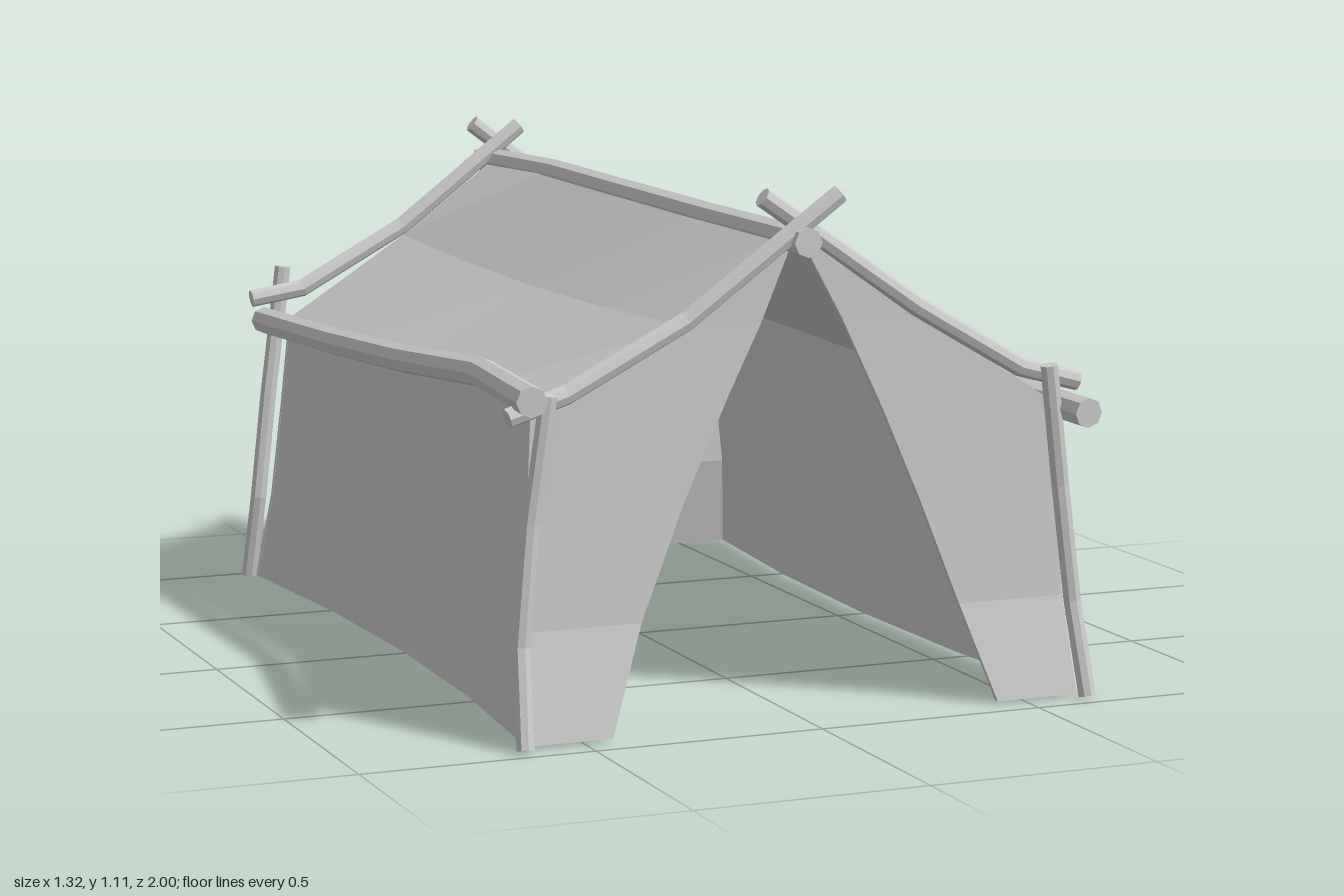
import * as THREE from 'three';

const wood = new THREE.MeshStandardMaterial({ color: 0xcccccc, flatShading: true });
const canvas = new THREE.MeshStandardMaterial({ color: 0xcccccc, flatShading: true, side: THREE.DoubleSide });
const V = (p) => new THREE.Vector3(...p);

// Crooked pole: a capped eight-sided cylinder bent through the given points
function pole(name, radius, points) {
  const pts = points.map(V), n = pts.length - 1;
  const geo = new THREE.CylinderGeometry(radius, radius, 1, 8, n);
  const pos = geo.attributes.position;
  for (let i = 0; i < pos.count; i++) {
    const k = Math.round((pos.getY(i) + 0.5) * n);
    const t = pts[Math.min(k + 1, n)].clone().sub(pts[Math.max(k - 1, 0)]).normalize();
    const ref = Math.abs(t.z) > 0.8 ? new THREE.Vector3(0, 1, 0) : new THREE.Vector3(0, 0, 1);
    const u = ref.cross(t).normalize(), v = u.clone().cross(t);
    const p = pts[k].clone().addScaledVector(u, pos.getX(i)).addScaledVector(v, pos.getZ(i));
    pos.setXYZ(i, p.x, p.y, p.z);
  }
  geo.computeVertexNormals();
  const mesh = new THREE.Mesh(geo, wood);
  mesh.name = name;
  return mesh;
}

// Cloth sheet between rows of points, with an inner layer and a closed hem
function sheet(name, rows, inward, thickness = 0.012) {
  const n = rows.length, cols = rows[0].length, count = n * cols, index = [];
  const quad = (a, b, c, d) => index.push(a, b, c, b, d, c);
  const outer = rows.flat().map(V);
  const inner = outer.map((p) => p.clone().addScaledVector(V(inward), thickness));
  for (let i = 0; i < n - 1; i++) {
    for (let j = 0; j < cols - 1; j++) {
      const a = i * cols + j, b = a + cols;
      quad(a, b, a + 1, b + 1);
      quad(a + count, a + 1 + count, b + count, b + 1 + count);
    }
  }
  const hem = (a, b) => quad(a, b, a + count, b + count);
  for (let i = 0; i < n - 1; i++) {
    hem(i * cols, (i + 1) * cols);
    hem((i + 1) * cols - 1, (i + 2) * cols - 1);
  }
  for (let j = 0; j < cols - 1; j++) {
    hem(j, j + 1);
    hem(count - cols + j, count - cols + j + 1);
  }
  const geo = new THREE.BufferGeometry().setFromPoints([...outer, ...inner]);
  geo.setIndex(index);
  geo.computeVertexNormals();
  const mesh = new THREE.Mesh(geo, canvas);
  mesh.name = name;
  return mesh;
}

export function createModel() {
  const tent = new THREE.Group();
  tent.name = 'tent';

  // Long poles, front to back
  const ridge = [[-0.015, 0.995, 0.95], [-0.02, 0.998, 0.45], [-0.02, 1.003, 0], [-0.025, 1.01, -0.45], [-0.01, 0.995, -1]];
  const eaves = {
    left: [[0.61, 0.615, 0.995], [0.575, 0.63, 0.45], [0.557, 0.615, 0], [0.565, 0.63, -0.45], [0.58, 0.665, -0.96]],
    right: [[-0.63, 0.71, 0.99], [-0.54, 0.69, 0.45], [-0.56, 0.66, 0], [-0.575, 0.64, -0.45], [-0.59, 0.625, -0.97]],
  };
  tent.add(pole('ridgePole', 0.031, ridge));
  tent.add(pole('leftEavePole', 0.032, eaves.left));
  tent.add(pole('rightEavePole', 0.032, eaves.right));

  // Corner posts: base x, top x, top y, and z at four heights
  const posts = [
    ['frontLeftPost', 0.637, 0.553, 0.71, [0.96, 0.915, 0.908, 0.922]],
    ['frontRightPost', -0.638, -0.57, 0.71, [0.965, 0.915, 0.908, 0.922]],
    ['backLeftPost', 0.63, 0.525, 0.76, [-0.965, -0.928, -0.925, -0.94]],
    ['backRightPost', -0.638, -0.555, 0.76, [-0.965, -0.925, -0.922, -0.925]],
  ];
  for (const [name, x0, x1, top, zs] of posts) {
    const bulge = 0.008 * Math.sign(x0);
    tent.add(pole(name, 0.0195, [0, 0.2, 0.45, top].map((y, i) =>
      [x0 + (x1 - x0) * y / top + (i % 3 ? bulge : 0), y, zs[i]])));
  }

  // Crossed rafters at each gable
  tent.add(pole('frontRightRafter', 0.021, [[-0.65, 0.665, 0.9], [-0.52, 0.705, 0.893], [-0.26, 0.84, 0.893], [0.065, 1.09, 0.925]]));
  tent.add(pole('frontLeftRafter', 0.021, [[0.63, 0.67, 0.905], [0.5, 0.705, 0.89], [0.26, 0.845, 0.885], [-0.09, 1.085, 0.885]]));
  tent.add(pole('backRightRafter', 0.021, [[-0.645, 0.69, -0.89], [-0.52, 0.71, -0.885], [-0.26, 0.85, -0.895], [0.04, 1.085, -0.885]]));
  tent.add(pole('backLeftRafter', 0.021, [[0.63, 0.71, -0.91], [0.5, 0.705, -0.905], [0.26, 0.84, -0.9], [-0.065, 1.09, -0.93]]));

  // Cloth cross-section at station k: wall from the ground to the eave, then roof to the ridge.
  // The eave seam hangs just inside its pole, the ends just inside the posts.
  const span = [1, 0.5, 0, -0.5, -1];
  const section = (side, k) => {
    const s = side === 'left' ? 1 : -1, f = span[k];
    const [ex, ey] = eaves[side][k], sag = 1 - f * f;
    const eaveX = ex - s * 0.036, eaveY = (ey + 0.65) / 2, baseX = s * (0.625 - 0.055 * sag);
    const wall = (t, z) => [baseX + (eaveX - baseX) * t, eaveY * t, z * f];
    return [
      wall(0, f > 0 ? 0.935 : 0.95), wall(0.33, 0.893), wall(0.68, 0.885), wall(1, 0.885),
      [s * 0.26, 0.828 - 0.02 * sag, 0.885 * f],
      [ridge[k][0], ridge[k][1] + 0.02, 0.89 * f],
    ];
  };
  const openEdge = (y) => Math.max(0, 0.437 * (1 - y) + 0.11 * y * (1 - y));
  for (const side of ['left', 'right']) {
    const s = side === 'left' ? 1 : -1;
    const sections = span.map((_, k) => section(side, k));
    tent.add(sheet(side + 'Wall', sections.map((c) => c.slice(0, 4)), [-s, 0, 0]));
    tent.add(sheet(side + 'Roof', sections.map((c) => c.slice(3)), [0, -1, 0]));
    // Front flap from the corner to the slanted edge of the doorway
    tent.add(sheet(side + 'FrontFlap', sections[0].map((p, i) =>
      [p, [i === 5 ? p[0] : s * openEdge(p[1]), p[1], p[2]]]), [0, 0, -1]));
  }

  // Closed back gable
  const backLeft = section('left', 4), backRight = section('right', 4);
  tent.add(sheet('backWall', backLeft.map((p, i) => [p, backRight[i]]), [0, 0, 1]));

  return tent;
}
